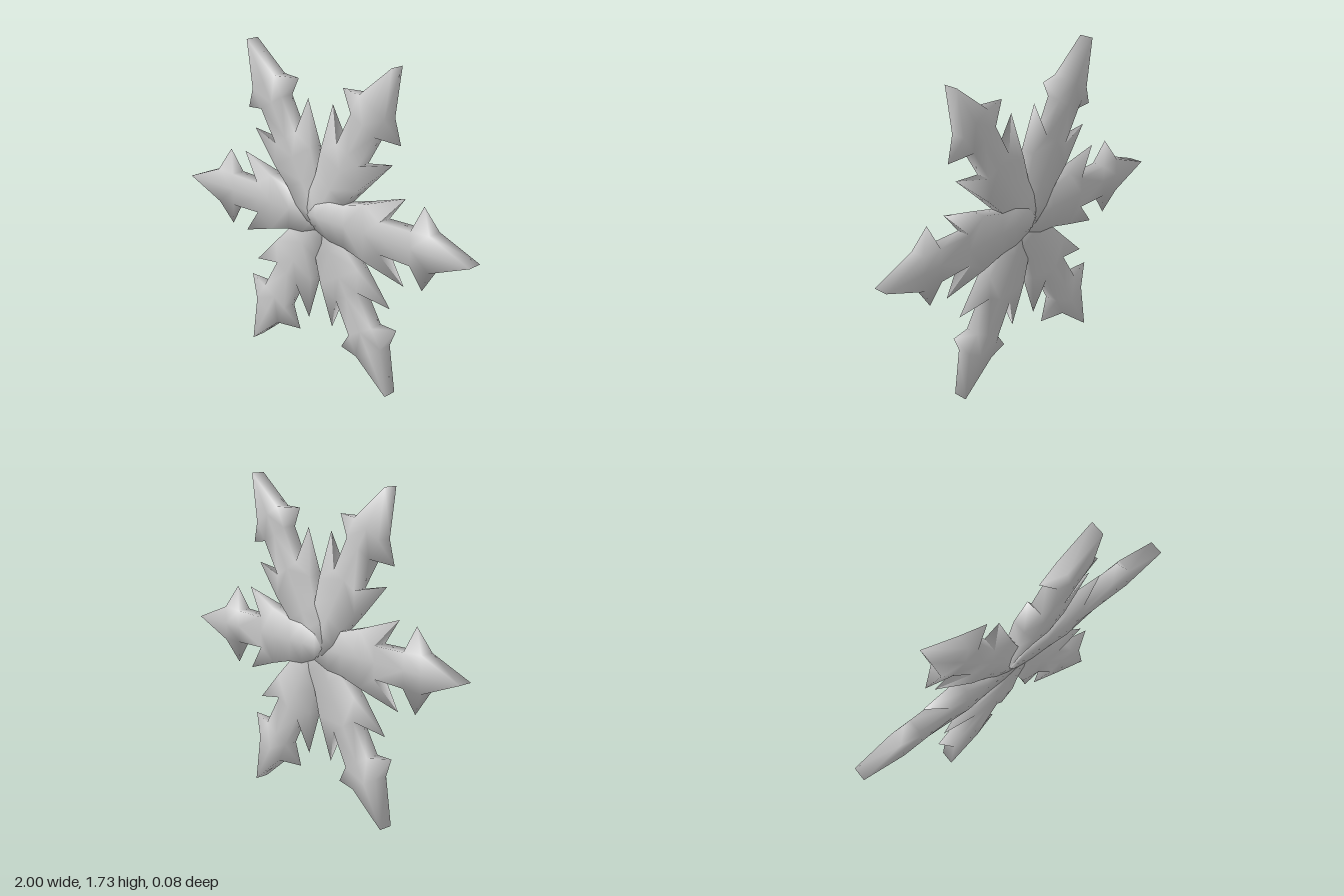
import * as THREE from 'three';

const HALF = 0.04; // half thickness
// Arm outline from hub to tip: distance along the arm, half width,
// and, where a barb grows from the span up to the next row, its tip.
const ROWS = [
  { x: -0.06, w: 0 },
  { x: 0, w: 0.07 },
  { x: 0.1, w: 0.107 },
  { x: 0.2, w: 0.115 },
  { x: 0.335, w: 0.152, barb: [0.575, 0.232] },
  { x: 0.442, w: 0.085 },
  { x: 0.64, w: 0.09, barb: [0.69, 0.22] },
  { x: 0.757, w: 0.096 },
  { x: 1, w: 0 },
];

// One smooth-shaded arm pointing along +x
function armGeometry(half) {
  const pos = [], index = [];
  const vertex = (x, y, z) => pos.push(x, y, z) / 3 - 1;
  const rows = ROWS.map(({ x, w }) => {
    const face = (z) => {
      const mid = vertex(x, 0, z);
      return { mid, 1: w ? vertex(x, w, z) : mid, '-1': w ? vertex(x, -w, z) : mid };
    };
    return { front: face(half), back: face(-half) };
  });

  for (const s of [1, -1]) {
    const tri = (a, b, c) => {
      if (a === b || b === c || a === c) return;
      if (s > 0) index.push(a, b, c);
      else index.push(a, c, b);
    };
    const quad = (a, b, c, d) => { tri(a, b, c); tri(a, c, d); };

    for (let i = 0; i < rows.length - 1; i++) {
      const { front: f, back: b } = rows[i];
      const { front: fn, back: bn } = rows[i + 1];
      // front and back faces
      quad(f.mid, fn.mid, fn[s], f[s]);
      quad(b[s], bn[s], bn.mid, b.mid);

      const barb = ROWS[i].barb;
      if (barb) {
        // barb tapering to a point at mid thickness
        const tip = vertex(barb[0], s * barb[1], 0);
        tri(f[s], fn[s], tip);
        tri(bn[s], b[s], tip);
        tri(f[s], tip, b[s]);
        tri(bn[s], tip, fn[s]);
      } else {
        // rim wall
        quad(f[s], fn[s], bn[s], b[s]);
      }
    }
  }

  const geometry = new THREE.BufferGeometry();
  geometry.setAttribute('position', new THREE.Float32BufferAttribute(pos, 3));
  geometry.setIndex(index);
  geometry.computeVertexNormals();
  return geometry;
}

export function createModel() {
  const group = new THREE.Group();
  group.name = 'snowflake';
  const material = new THREE.MeshStandardMaterial({ color: 0xcccccc });

  // six arms overlapping at the hub; tiny thickness steps keep the overlap clean
  for (let i = 0; i < 6; i++) {
    const arm = new THREE.Mesh(armGeometry(HALF - i * 0.0003), material);
    arm.name = `arm${i + 1}`;
    arm.rotation.z = (i * Math.PI) / 3;
    arm.position.y = Math.sin(Math.PI / 3);
    group.add(arm);
  }
  return group;
}
